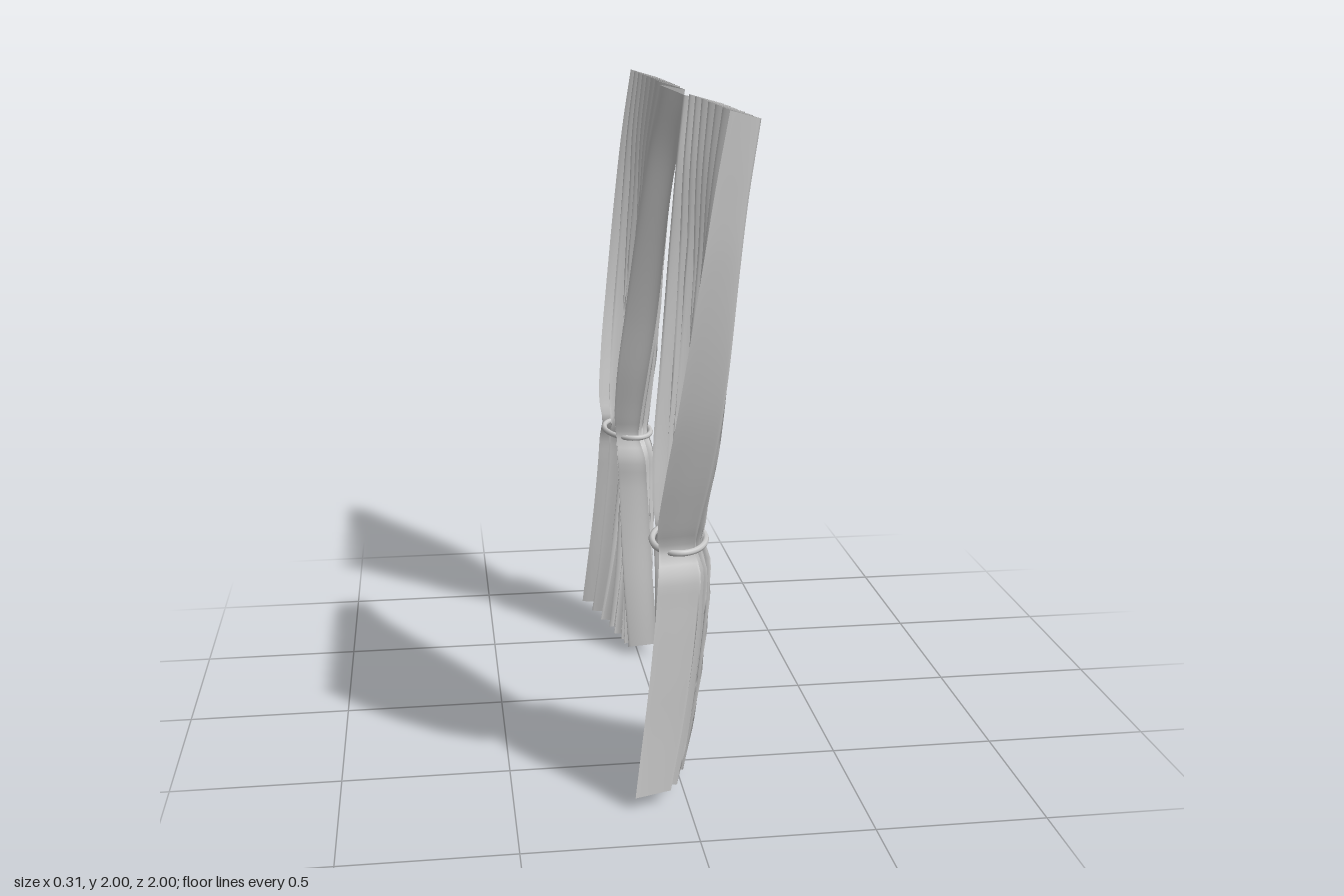
import * as THREE from 'three';

const PLEATS = 7.5, COLS = 180, ROWS = 72, TIE_Y = 0.755;

// Curtain shape by height: inner z, outer z, base x, pleat depth, arch towards +x, slant
const KEYS = [
  [0.00, 0.315, 0.795, -0.045, 0.050, 0.02, -0.060],
  [0.20, 0.360, 0.787, -0.038, 0.054, 0.04, -0.040],
  [0.40, 0.405, 0.782, -0.030, 0.056, 0.05, -0.025],
  [0.60, 0.440, 0.775, -0.025, 0.056, 0.06, -0.012],
  [0.70, 0.450, 0.768, -0.025, 0.055, 0.06, -0.006],
  [0.755, 0.482, 0.742, -0.030, 0.046, 0.056, -0.004],
  [0.82, 0.472, 0.765, -0.032, 0.052, 0.06, -0.004],
  [1.00, 0.430, 0.828, -0.015, 0.060, 0.06, 0],
  [1.20, 0.388, 0.888, 0.010, 0.060, 0.05, 0],
  [1.60, 0.296, 0.965, 0.050, 0.050, 0.03, 0],
  [1.80, 0.250, 0.986, 0.074, 0.047, 0.014, 0],
  [2.00, 0.190, 1.000, 0.105, 0.045, 0, 0],
];
const profile = new THREE.CubicInterpolant(
  KEYS.map(k => k[0]), KEYS.flatMap(k => k.slice(1)), 6, new Float32Array(6));

// One point of the cloth; v runs from the outer to the inner edge
function clothPoint(v, y) {
  const [zi, zo, base, depth, arch, slant] = profile.evaluate(y);
  const loose = 1 - THREE.MathUtils.smoothstep(y, 0.9, 1.9);
  const ends = Math.sin(Math.PI * v);
  // folds wander and vary in depth away from the neat heading
  const warp = loose * ends * (0.012 * Math.sin(17 * v + 2.2 * y) + 0.007 * Math.sin(31 * v - 4 * y));
  const phase = 2 * Math.PI * PLEATS * (v + warp);
  const round = -Math.cos(phase);
  const sharp = Math.asin(round) * 2 / Math.PI;
  const wave = THREE.MathUtils.lerp(round, sharp, 0.55);
  const vary = 1 - loose * ends * (0.18 + 0.18 * Math.sin(23 * v + 1.5 * y));
  const s = 1 - 2 * v;
  const x = base + arch * (1 - s * s) + slant * s + depth * vary * wave;
  const z = THREE.MathUtils.lerp(zo, zi, v) + loose * ends * 0.009 * Math.sin(2 * phase + 0.6);
  // scalloped top edge and slightly lifted bottom corners
  const top = THREE.MathUtils.smoothstep(y, 1.6, 2);
  const bottom = 1 - THREE.MathUtils.smoothstep(y, 0, 0.5);
  const drop = top * (0.0125 * (wave + 1) + 0.025 * Math.pow(v, 12));
  const lift = bottom * (0.036 * s * s + 0.006 * (wave + 1));
  return [x, y - drop + lift, z];
}

function clothGeometry(side) {
  const pos = [], index = [];
  for (let j = 0; j <= ROWS; j++) {
    for (let i = 0; i <= COLS; i++) {
      const [x, y, z] = clothPoint(i / COLS, 2 * j / ROWS);
      pos.push(x, y, side * z);
    }
  }
  const w = COLS + 1;
  for (let j = 0; j < ROWS; j++) {
    for (let i = 0; i < COLS; i++) {
      const a = j * w + i, b = a + 1, c = a + w, d = c + 1;
      if (side > 0) index.push(a, b, c, b, d, c);
      else index.push(a, c, b, b, c, d);
    }
  }
  const geo = new THREE.BufferGeometry();
  geo.setAttribute('position', new THREE.Float32BufferAttribute(pos, 3));
  geo.setIndex(index);
  geo.computeVertexNormals();
  return geo;
}

// Cord looped around the gathered cloth
function tieGeometry(side) {
  const pts = [];
  for (let i = 0; i < 24; i++) {
    const a = i / 24 * Math.PI * 2;
    const dz = 0.132 * Math.cos(a);
    pts.push(new THREE.Vector3(-0.005 + 0.078 * Math.sin(a) - 0.1 * dz, TIE_Y, side * (0.613 + dz)));
  }
  return new THREE.TubeGeometry(new THREE.CatmullRomCurve3(pts, true), 72, 0.0095, 8, true);
}

export function createModel() {
  const model = new THREE.Group();
  model.name = 'curtains';
  const material = new THREE.MeshStandardMaterial({ color: 0xcccccc, side: THREE.DoubleSide });
  for (const [side, label] of [[1, 'front'], [-1, 'back']]) {
    const curtain = new THREE.Group();
    curtain.name = label + 'Curtain';
    const cloth = new THREE.Mesh(clothGeometry(side), material);
    cloth.name = label + 'PleatedCloth';
    const tie = new THREE.Mesh(tieGeometry(side), material);
    tie.name = label + 'TieBack';
    curtain.add(cloth, tie);
    model.add(curtain);
  }
  return model;
}
